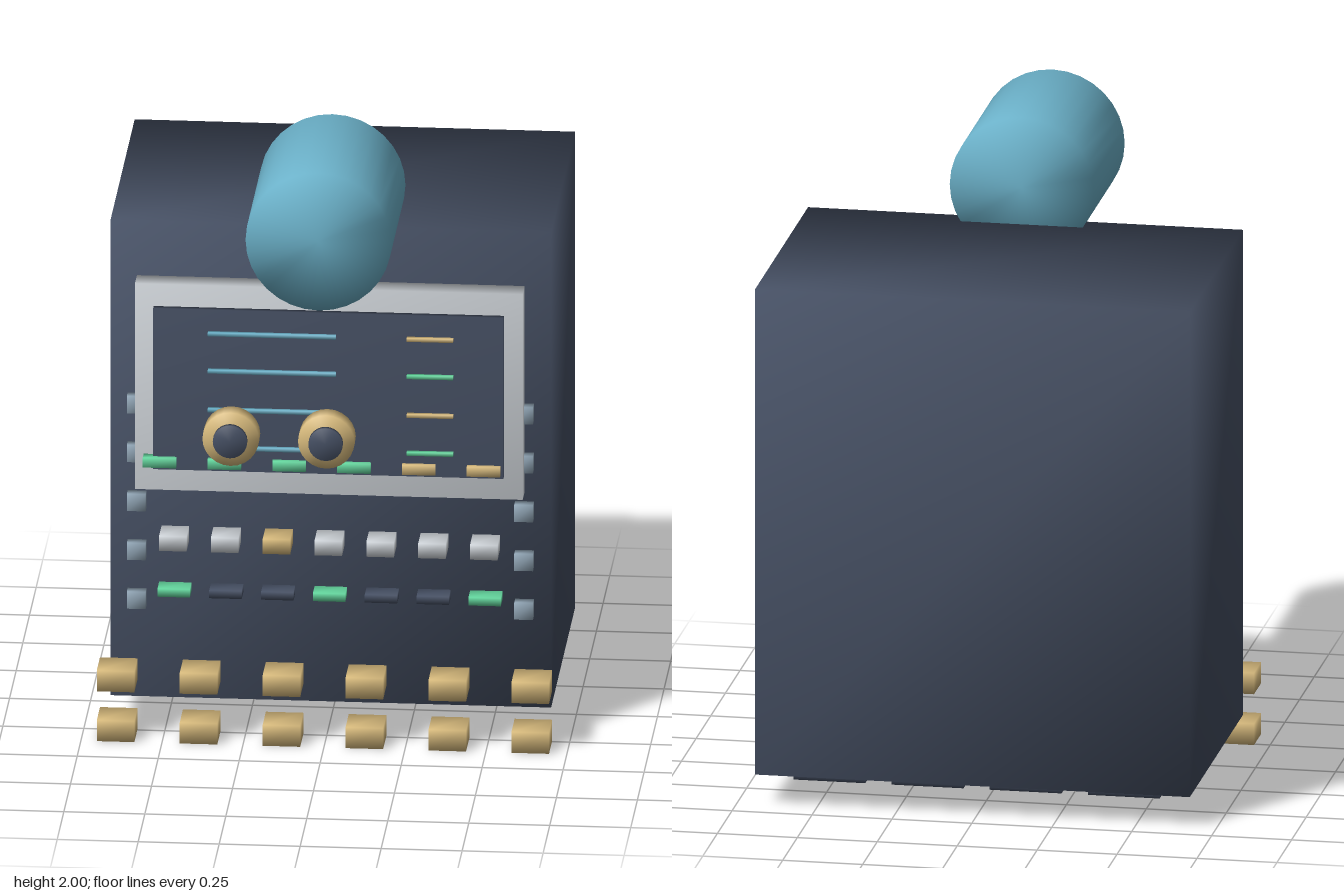
import * as THREE from 'three';
import { mergeVertices } from 'three/addons/utils/BufferGeometryUtils.js';

const paint = (name, color) => {
  const m = new THREE.MeshStandardMaterial({ color });
  m.name = name;
  return m;
};

// Share vertices so that shading flows softly over every edge
function soften(geometry) {
  geometry.deleteAttribute('normal');
  geometry.deleteAttribute('uv');
  const g = mergeVertices(geometry, 1e-5);
  g.computeVertexNormals();
  return g;
}

export function createModel() {
  const group = new THREE.Group();
  const navy = paint('navy', 0x465064);
  const teal = paint('teal', 0x6cb2ca);
  const gold = paint('gold', 0xd6b97c);
  const green = paint('green', 0x62d49c);
  const silver = paint('silver', 0xced3d8);
  const steel = paint('steel', 0x8fa3b3);

  const add = (name, geometry, material, x, y, z) => {
    const mesh = new THREE.Mesh(soften(geometry), material);
    mesh.name = name;
    mesh.position.set(x, y, z);
    group.add(mesh);
  };
  // Box from centre x, centre y and a z range
  const box = (name, material, x, y, w, h, z0, z1) =>
    add(name, new THREE.BoxGeometry(w, h, z1 - z0), material, x, y, (z0 + z1) / 2);
  // Cylinder lying along z
  const drum = (name, material, x, y, r, z0, z1, sides) =>
    add(name, new THREE.CylinderGeometry(r, r, z1 - z0, sides).rotateX(Math.PI / 2),
      material, x, y, (z0 + z1) / 2);

  // Cabinet and screen
  box('cabinet', navy, 0.01, 0.879, 1.36, 1.557, -0.685, 0.22);
  box('screenFrame', silver, 0.01, 1.142, 1.197, 0.673, 0.22, 0.295);
  box('screen', navy, 0.01, 1.143, 1.081, 0.527, 0.295, 0.315);

  // Drum on top
  drum('topDrum', teal, 0.01, 1.775, 0.225, 0.155, 0.686, 32);

  // Lines on the screen
  [1.333, 1.211, 1.084, 0.96].forEach((y, i) => {
    box('screenLineLong', teal, -0.163, y, 0.395, 0.012, 0.32, 0.335);
    box('screenLineShort', i % 2 ? green : gold, 0.325, y, 0.143, 0.012, 0.32, 0.335);
  });

  // Status lamps along the lower edge of the screen
  for (let i = 0; i < 6; i++) {
    box('statusLamp', i < 4 ? green : gold, -0.51 + i * 0.2, 0.906, 0.103, 0.032, 0.295, 0.332);
  }

  // Two knobs with dark caps
  for (const x of [-0.285, 0.01]) {
    drum('knob', gold, x, 1.014, 0.087, 0.338, 0.397, 24);
    drum('knobCap', navy, x, 1.014, 0.053, 0.405, 0.422, 24);
  }

  // Two rows of keys
  for (let i = 0; i < 7; i++) {
    const x = -0.47 + i * 0.16;
    box('key', i === 2 ? gold : silver, x, 0.637, 0.085, 0.048, 0.22, 0.317);
    box('flatKey', i % 3 === 0 ? green : navy, x, 0.464, 0.1, 0.026, 0.22, 0.285);
  }

  // Bolts down both sides of the panel
  for (let i = 0; i < 5; i++) {
    for (const side of [-1, 1]) {
      box('bolt', steel, 0.01 + side * 0.598, 1.066 - i * 0.16, 0.058, 0.056, 0.22, 0.255);
    }
  }

  // Two rows of floating blocks at the foot
  for (let i = 0; i < 6; i++) {
    for (const y of [0.034, 0.197]) {
      box('footBlock', gold, -0.643 + i * 0.256, y, 0.116, 0.068, 0.24, 0.36);
    }
  }

  // Slats under the cabinet
  for (let i = 0; i < 4; i++) {
    box('underSlat', navy, -0.456 + i * 0.307, 0.092, 0.225, 0.026, -0.645, -0.243);
  }

  return group;
}
